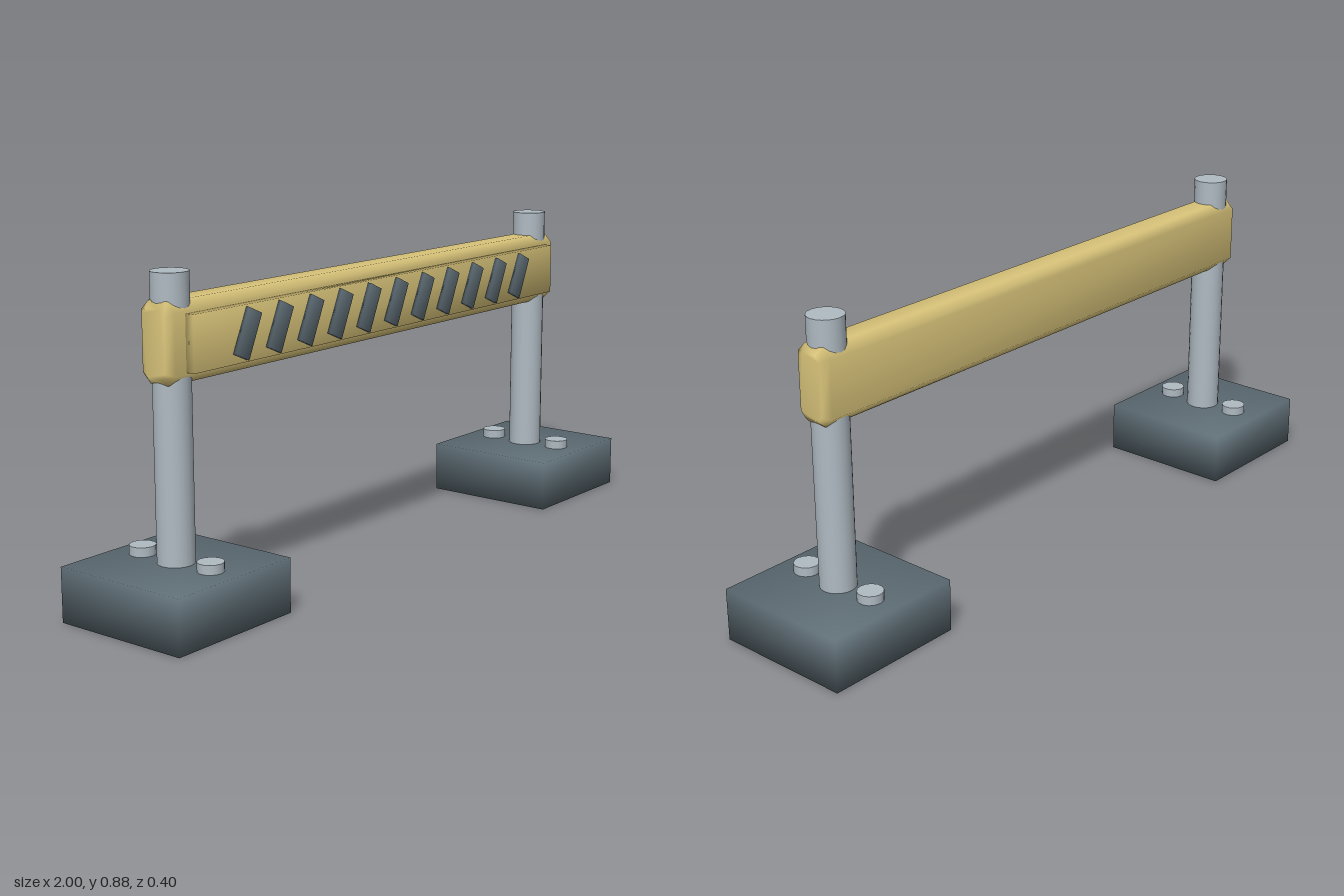
import * as THREE from 'three';
import { mergeVertices } from 'three/addons/utils/BufferGeometryUtils.js';

const steel = new THREE.MeshStandardMaterial({ name: 'steel', color: 0xb0bbc3 });
const slate = new THREE.MeshStandardMaterial({ name: 'slate', color: 0x5f6e76 });
const yellow = new THREE.MeshStandardMaterial({ name: 'pale yellow', color: 0xd9c47a });

// Weld corners so shading flows smoothly over the edges
function smooth(geometry) {
  geometry.deleteAttribute('normal');
  geometry.deleteAttribute('uv');
  const welded = mergeVertices(geometry, 1e-4);
  welded.computeVertexNormals();
  return welded;
}

function add(parent, name, geometry, material, x, y, z) {
  const mesh = new THREE.Mesh(geometry, material);
  mesh.name = name;
  mesh.position.set(x, y, z);
  parent.add(mesh);
  return mesh;
}

// Bar along x with all edges chamfered
function chamferedBar(length, height, depth, c) {
  const h = height / 2, d = depth / 2;
  const outline = new THREE.Shape([
    [-d, c - h], [c - d, -h], [d - c, -h], [d, c - h],
    [d, h - c], [d - c, h], [c - d, h], [-d, h - c],
  ].map(([x, y]) => new THREE.Vector2(x, y)));
  const bevel = 0.018;
  const bar = new THREE.ExtrudeGeometry(outline, {
    depth: length - 2 * bevel, bevelThickness: bevel, bevelSize: bevel,
    bevelOffset: -bevel, bevelSegments: 1,
  });
  bar.translate(0, 0, bevel - length / 2);
  bar.rotateY(Math.PI / 2);
  return smooth(bar);
}

export function createModel() {
  const model = new THREE.Group();
  model.name = 'barrier';

  // Footing, post and bolts on each side
  const footing = smooth(new THREE.BoxGeometry(0.405, 0.146, 0.4));
  const post = new THREE.CylinderGeometry(0.049, 0.049, 0.735, 20);
  const bolt = new THREE.CylinderGeometry(0.035, 0.035, 0.026, 14);
  for (const side of [-1, 1]) {
    const support = new THREE.Group();
    support.name = side > 0 ? 'leftSupport' : 'rightSupport';
    support.position.x = side * 0.7965;
    add(support, 'footing', footing, slate, 0, 0.073, 0);
    add(support, 'post', post, steel, 0, 0.5125, 0);
    for (const z of [-0.117, 0.117]) add(support, 'bolt', bolt, steel, 0, 0.158, z);
    model.add(support);
  }

  // Crossbar with its raised front panel
  add(model, 'crossbar', chamferedBar(1.715, 0.206, 0.11, 0.025), yellow, 0, 0.708, 0);
  add(model, 'frontPanel', smooth(new THREE.BoxGeometry(1.604, 0.145, 0.03)), yellow, 0, 0.708, 0.065);

  // Slanted warning stripes
  const stripe = smooth(new THREE.BoxGeometry(0.053, 0.124, 0.012));
  for (let i = 0; i < 11; i++) {
    add(model, 'stripe', stripe, slate, (i - 5) * 0.1225, 0.708, 0.084).rotation.z = -0.42;
  }
  return model;
}
